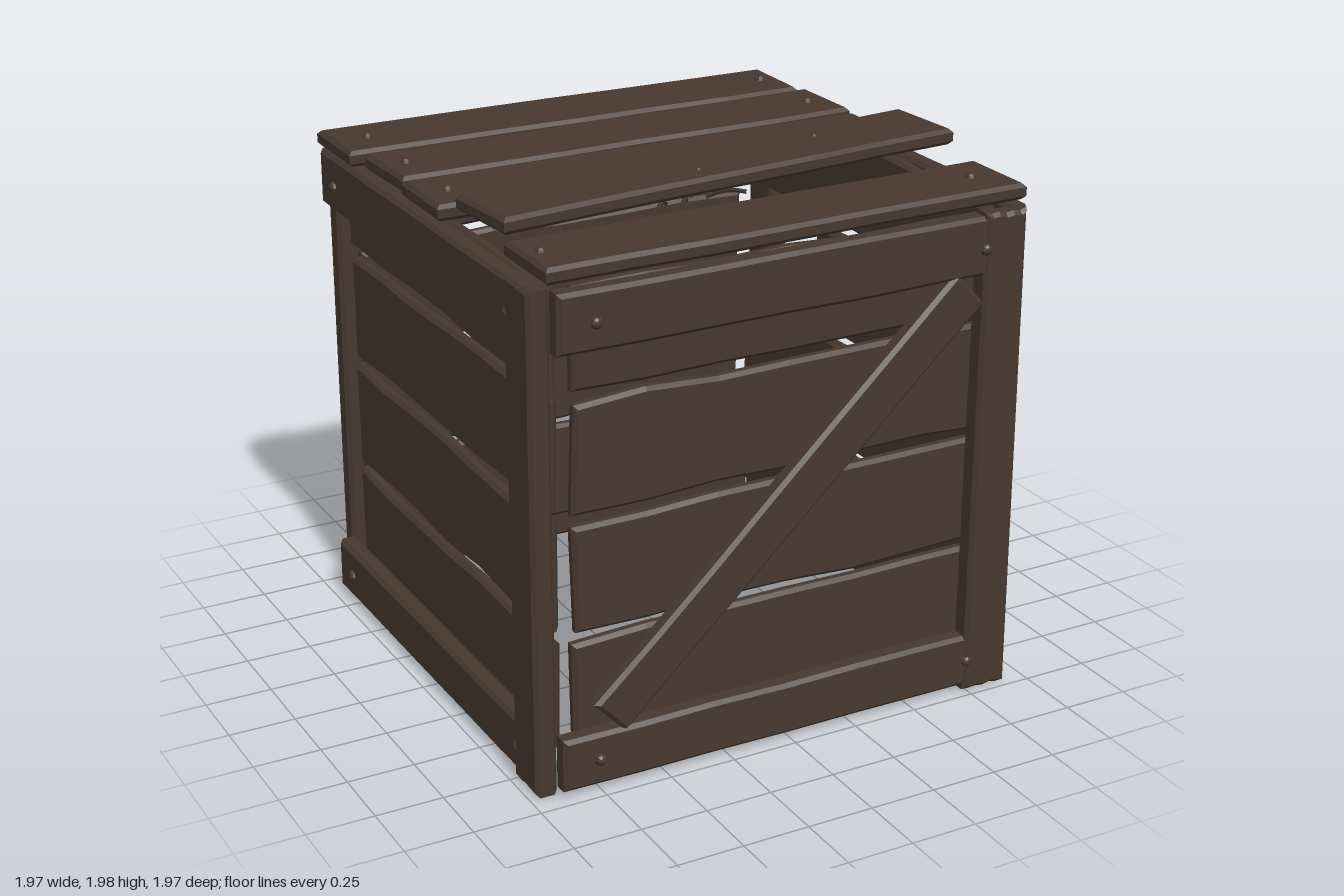
import * as THREE from 'three';

// small seeded random for hand-cut irregularity
let seed = 7;
const rnd = () => {
  seed = (seed * 16807) % 2147483647;
  return seed / 2147483647 - 0.5;
};

export function createModel() {
  seed = 7;
  const wood = new THREE.MeshStandardMaterial({ color: 0x47382f, flatShading: true });
  wood.name = 'darkWood';

  // bevelled board lying in xy, with slightly wavy long edges; front face at z = +t/2
  function board(name, w, h, t, wave = 0.016, bevel = 0.014) {
    const n = 6, pts = [];
    for (let i = 0; i <= n; i++) pts.push([-w / 2 + (w * i) / n, -h / 2 + rnd() * wave]);
    for (let i = n; i >= 0; i--) pts.push([-w / 2 + (w * i) / n, h / 2 + rnd() * wave]);
    for (const i of [0, n, n + 1, 2 * n + 1]) pts[i][0] += rnd() * wave;
    const shape = new THREE.Shape(pts.map(([x, y]) => new THREE.Vector2(x, y)));
    const geo = new THREE.ExtrudeGeometry(shape, {
      depth: t - 2 * bevel, bevelEnabled: true, bevelThickness: bevel,
      bevelSize: bevel, bevelOffset: -bevel, bevelSegments: 1,
    });
    geo.translate(0, 0, -t / 2 + bevel);
    const mesh = new THREE.Mesh(geo, wood);
    mesh.name = name;
    return mesh;
  }

  // board filling x0..x1, y0..y1, z0..z1
  function boardBetween(name, x0, x1, y0, y1, z0, z1, wave) {
    const m = board(name, x1 - x0, y1 - y0, z1 - z0, wave);
    m.position.set((x0 + x1) / 2, (y0 + y1) / 2, (z0 + z1) / 2);
    return m;
  }

  // domed nail head facing +z
  const headGeo = new THREE.SphereGeometry(0.023, 8, 3, 0, Math.PI * 2, 0, Math.PI / 2);
  headGeo.scale(1, 0.85, 1).rotateX(Math.PI / 2);
  function nailHead(x, y, z, up = false) {
    const m = new THREE.Mesh(headGeo, wood);
    m.name = 'nailHead';
    m.position.set(x, y, z);
    if (up) m.rotation.x = -Math.PI / 2;
    return m;
  }

  // one wall, built facing +z
  function wall(name, { brace = false, broken = false }) {
    const g = new THREE.Group();
    g.name = name;
    const rows = [[0.14, 0.55], [0.58, 0.98], [1.02, 1.42], [1.46, 1.82]];
    rows.forEach(([y0, y1], i) => {
      const end = broken && i === 2 ? 0.3 : 0.84;
      g.add(boardBetween('plank', -0.81, end, y0, y1, 0.84, 0.89, 0.022));
    });
    for (const [y0, y1] of [[0.03, 0.23], [1.62, 1.835]]) {
      g.add(boardBetween('rail', -0.89, 0.86, y0, y1, 0.89, 0.965, 0.006));
      for (const x of [-0.755, 0.745]) g.add(nailHead(x, y0 + 0.1, 0.964));
    }
    const post = boardBetween('post', 0.735, 0.91, 0.012, 1.845, 0.893, 0.975, 0.01);
    g.add(post);
    if (brace) {
      const dx = 1.4, dy = 1.31;
      const b = board('brace', Math.hypot(dx, dy), 0.17, 0.07, 0.008);
      b.position.set(-0.01, 0.93, 0.932);
      b.rotation.z = Math.atan2(dy, dx);
      g.add(b);
    }
    return g;
  }

  const crate = new THREE.Group();
  crate.name = 'crate';

  // four walls in a pinwheel
  const walls = [
    ['frontWall', { brace: true }], ['leftWall', { broken: true }],
    ['backWall', { brace: true }], ['rightWall', {}],
  ];
  walls.forEach(([name, options], i) => {
    const w = wall(name, options);
    w.rotation.y = (i * Math.PI) / 2;
    crate.add(w);
  });

  // lid plank: centre, length, depth, height of its middle, turn about the vertical
  function lidPlank(name, x, z, w, d, y, turn) {
    const m = board(name, w, d, 0.06, 0.012);
    m.rotation.set(-Math.PI / 2, 0, turn);
    m.position.set(x, y, z);
    crate.add(m);
  }
  const lid = [
    [-0.03, -0.725, 1.87, 0.325, -0.008], [0, -0.367, 1.85, 0.32, 0.008],
    [-0.015, -0.005, 1.85, 0.325, -0.008], [0.03, 0.73, 1.86, 0.32, 0.012],
  ];
  for (const [x, z, w, d, turn] of lid) {
    lidPlank('lidPlank', x, z, w, d, 1.872, turn);
    for (const nx of [-0.835, 0.83]) crate.add(nailHead(nx, 1.9, z, true));
  }

  // loose plank resting askew on its pulled nails
  lidPlank('looseLidPlank', 0.015, 0.355, 1.87, 0.32, 1.953, 0.093);
  for (const [x, z] of [[-0.09, 0.43], [0.47, 0.27]]) {
    const head = nailHead(x, 1.98, z, true);
    head.scale.setScalar(0.6);
    crate.add(head);
  }
  const shafts = [
    [-0.33, 0.58, -0.2, 0.4], [-0.22, 0.56, -0.12, 0.4],
    [0.04, 0.54, -0.04, 0.4], [-0.02, 0.3, -0.1, 0.4],
  ];
  for (const [x0, z0, x1, z1] of shafts) {
    const curve = new THREE.QuadraticBezierCurve3(
      new THREE.Vector3(x0, 1.915, z0),
      new THREE.Vector3((x0 + x1) / 2, 1.92, (z0 + z1) / 2),
      new THREE.Vector3(x1, 1.87, z1));
    const nail = new THREE.Mesh(new THREE.TubeGeometry(curve, 4, 0.008, 5), wood);
    nail.name = 'bentNail';
    crate.add(nail);
  }
  return crate;
}
